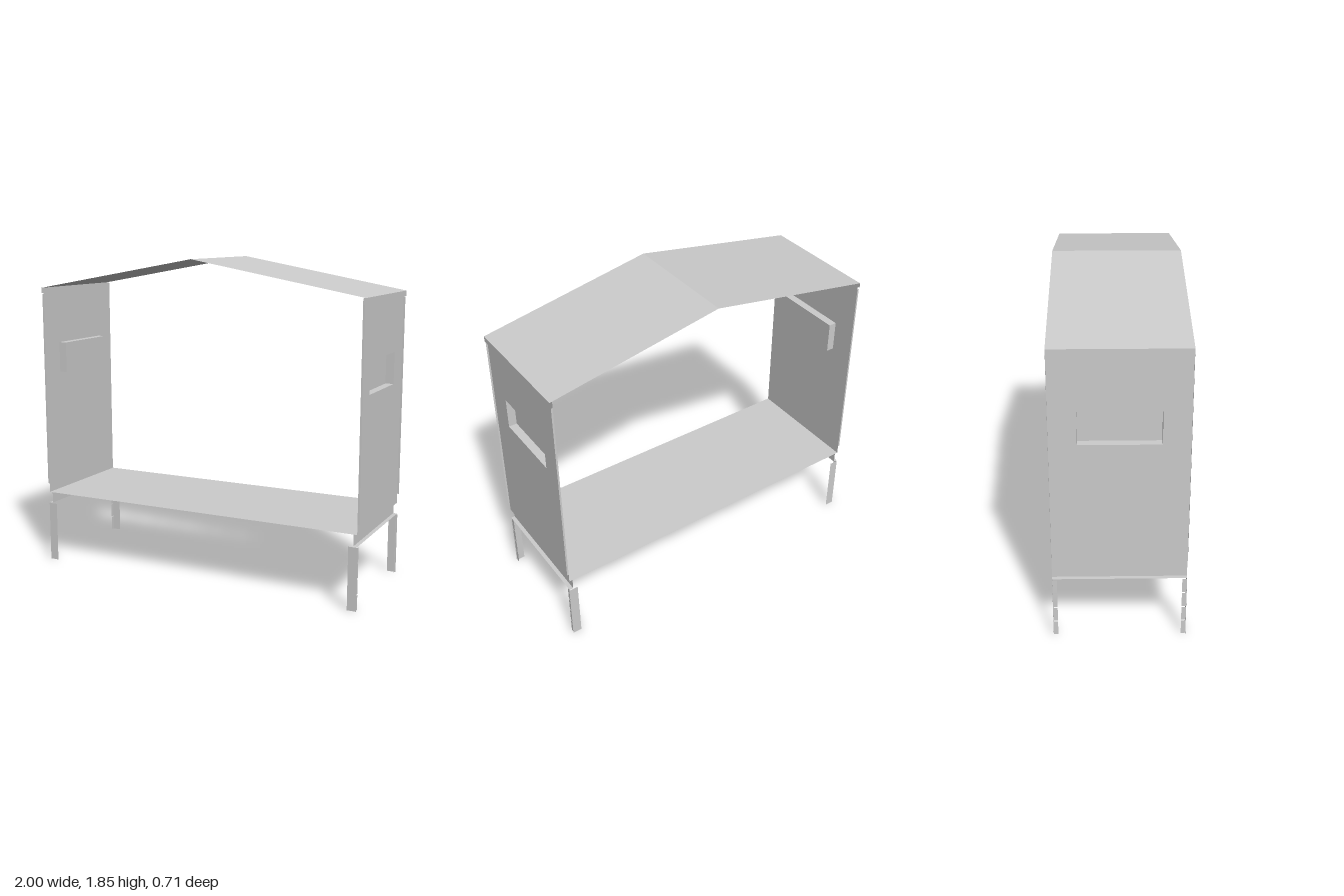
import * as THREE from 'three';

const material = new THREE.MeshStandardMaterial({ color: 0xcccccc, flatShading: true, side: THREE.DoubleSide });
const D = 0.355; // half depth of the shelter

function add(parent, name, geometry) {
  const mesh = new THREE.Mesh(geometry, material);
  mesh.name = name;
  parent.add(mesh);
  return mesh;
}

// Folded sheet: a polyline of [x, y] points swept from z0 to z1
function foldedSheet(points, z0 = -D, z1 = D) {
  const n = points.length;
  const geometry = new THREE.PlaneGeometry(1, 1, n - 1, 1);
  const pos = geometry.attributes.position;
  for (let i = 0; i < pos.count; i++) {
    const [x, y] = points[i % n];
    pos.setXYZ(i, x, y, i < n ? z0 : z1);
  }
  geometry.computeVertexNormals();
  return geometry;
}

// Upright sheet across z at a fixed x, with an optional rectangular opening
function endSheet(x, y0, y1, hole) {
  const rect = (Type, z, a, b) => new Type([[-z, a], [z, a], [z, b], [-z, b]].map(p => new THREE.Vector2(...p)));
  const shape = rect(THREE.Shape, D, y0, y1);
  if (hole) shape.holes.push(rect(THREE.Path, hole.z, hole.y0, hole.y1));
  return new THREE.ShapeGeometry(shape).rotateY(Math.PI / 2).translate(x, 0, 0);
}

function buildEnd(side) {
  const end = new THREE.Group();
  end.name = side > 0 ? 'leftEnd' : 'rightEnd';
  const wallX = 0.985 * side;
  const pocket = { z: 0.212, y0: 1.15, y1: 1.33 };
  add(end, 'endWall', endSheet(wallX, 0.425, 1.663, pocket));

  // Recessed pocket, open to the outside
  const px = 0.938 * side;
  const { z, y0, y1 } = pocket;
  add(end, 'pocketShell', foldedSheet([[wallX, y0], [px, y0], [px, y1], [wallX, y1]], -z, z));
  for (const s of [-1, 1]) {
    const cheek = add(end, 'pocketCheek', new THREE.PlaneGeometry(0.047, y1 - y0));
    cheek.position.set((wallX + px) / 2, (y0 + y1) / 2, s * z);

    // Narrow flange along each upright edge of the wall
    const flange = add(end, 'wallFlange', new THREE.PlaneGeometry(0.01, 1.15));
    flange.position.set(0.99 * side, 1.055, s * D);

    end.add(buildLeg(side, s));
  }
  return end;
}

// Angle-section leg with a slotted outer edge
function buildLeg(side, front) {
  const leg = new THREE.Group();
  leg.name = front > 0 ? 'frontLeg' : 'backLeg';
  const height = 0.355;
  const web = add(leg, 'legWeb', new THREE.PlaneGeometry(0.053, height));
  web.position.set(0.9635 * side, height / 2, front * D);
  const count = 4, step = height / count;
  for (let i = 0; i < count; i++) {
    const edge = add(leg, 'legEdge', new THREE.PlaneGeometry(0.025, step - 0.006).rotateY(Math.PI / 2));
    edge.position.set(0.986 * side, step * (i + 0.5), front * (D - 0.0125));
  }
  return leg;
}

export function createModel() {
  const model = new THREE.Group();
  model.name = 'shelter';

  // Ridged roof with a turned-down lip at both eaves
  add(model, 'roof', foldedSheet([[-1, 1.635], [-1, 1.665], [0, 1.845], [1, 1.665], [1, 1.635]]));

  // Floor deck meeting both walls
  add(model, 'floor', foldedSheet([[-0.985, 0.425], [0.985, 0.425]]));

  for (const side of [1, -1]) {
    // Floor end lip with an outward foot that rests on the legs
    add(model, 'floorLip', foldedSheet([[0.965 * side, 0.425], [0.965 * side, 0.36], [0.988 * side, 0.36]]));
    model.add(buildEnd(side));
  }
  return model;
}
